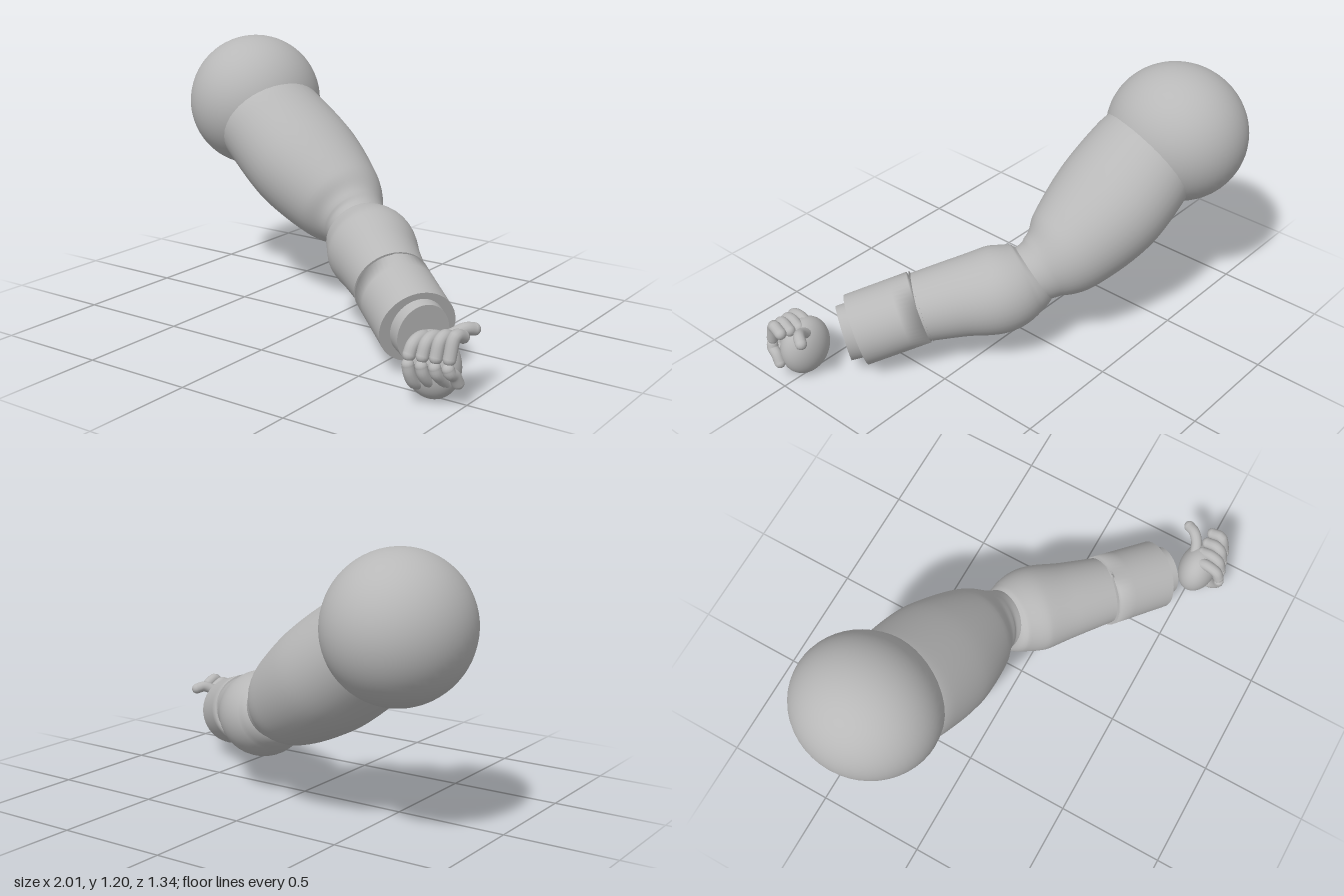
import * as THREE from 'three';

const V = (a) => new THREE.Vector3(...a);

// Smooth tapering limb: each section is [x, y, z, vertical radius, sideways radius]
function limb(sections, steps = 32, sides = 40) {
  const path = new THREE.CatmullRomCurve3(sections.map((s) => V(s.slice(0, 3))), false, 'catmullrom');
  const radii = new THREE.CatmullRomCurve3(sections.map((s) => V([s[3], s[4], 0])), false, 'catmullrom');
  const pos = [], index = [];
  const ring = (t) => {
    const c = path.getPoint(t), r = radii.getPoint(t), T = path.getTangent(t);
    const S = new THREE.Vector3().crossVectors(T, V([0, 1, 0])).normalize();
    const U = new THREE.Vector3().crossVectors(S, T);
    for (let i = 0; i < sides; i++) {
      const a = (i / sides) * Math.PI * 2;
      const p = c.clone().addScaledVector(S, Math.cos(a) * r.y).addScaledVector(U, Math.sin(a) * r.x);
      pos.push(p.x, p.y, p.z);
    }
    return c;
  };
  for (let j = 0; j <= steps; j++) ring(j / steps);
  for (let j = 0; j < steps; j++) {
    for (let i = 0; i < sides; i++) {
      const n = (i + 1) % sides, a = j * sides + i, b = j * sides + n;
      index.push(a, a + sides, b, b, a + sides, b + sides);
    }
  }
  // Flat end caps with their own vertices, so the rims stay sharp
  for (const t of [0, 1]) {
    const base = pos.length / 3;
    const c = ring(t);
    pos.push(c.x, c.y, c.z);
    for (let i = 0; i < sides; i++) {
      const n = (i + 1) % sides;
      if (t) index.push(base + sides, base + n, base + i);
      else index.push(base + sides, base + i, base + n);
    }
  }
  const g = new THREE.BufferGeometry();
  g.setAttribute('position', new THREE.Float32BufferAttribute(pos, 3));
  g.setIndex(index);
  g.computeVertexNormals();
  return g;
}

export function createModel() {
  const model = new THREE.Group();
  const grey = new THREE.MeshStandardMaterial({ color: 0xb8b8b8 });
  grey.name = 'plainGrey';

  const add = (name, geometry, parent = model) => {
    const m = new THREE.Mesh(geometry, grey);
    m.name = name;
    parent.add(m);
    return m;
  };
  const ellipsoid = (name, centre, r, parent) => {
    const m = add(name, new THREE.SphereGeometry(1, 48, 32), parent);
    m.position.set(...centre);
    m.scale.set(...r);
    return m;
  };
  // Bent finger: a tube with a ball at each end
  const digit = (name, points, r, parent) => {
    const g = new THREE.Group();
    g.name = name;
    parent.add(g);
    const curve = new THREE.CatmullRomCurve3(points.map(V));
    add(name + 'Tube', new THREE.TubeGeometry(curve, 16, r, 14), g);
    for (const p of [points[0], points[points.length - 1]]) {
      add(name + 'End', new THREE.SphereGeometry(r, 14, 10), g).position.set(...p);
    }
  };

  ellipsoid('shoulder', [-0.693, 0.89, -0.345], [0.306, 0.315, 0.33]);

  add('upperArm', limb([
    [-0.62, 0.86, -0.295, 0.22, 0.24],
    [-0.53, 0.795, -0.28, 0.24, 0.268],
    [-0.31, 0.635, -0.25, 0.25, 0.275],
    [-0.09, 0.495, -0.205, 0.212, 0.215],
    [0.02, 0.435, -0.16, 0.155, 0.15],
    [0.08, 0.405, -0.12, 0.13, 0.13],
  ], 40));

  add('forearm', limb([
    [0.03, 0.42, -0.145, 0.12, 0.12],
    [0.085, 0.39, -0.115, 0.165, 0.165],
    [0.19, 0.355, -0.05, 0.197, 0.2],
    [0.32, 0.325, 0.065, 0.176, 0.178],
    [0.46, 0.29, 0.185, 0.155, 0.158],
  ], 40));

  // Sleeve cuff and the narrower wrist stub
  add('cuff', limb([[0.45, 0.292, 0.18, 0.165, 0.168], [0.685, 0.21, 0.355, 0.165, 0.163]], 4, 48));
  add('wrist', limb([[0.62, 0.225, 0.31, 0.138, 0.122], [0.733, 0.2, 0.388, 0.133, 0.112]], 4, 48));

  // Detached fist
  const hand = new THREE.Group();
  hand.name = 'hand';
  model.add(hand);
  ellipsoid('palm', [0.852, 0.143, 0.515], [0.122, 0.138, 0.09], hand);

  for (let i = 0; i < 4; i++) {
    const x = 0.823 + i * 0.05, z = 0.632 - i * 0.015, y = 0.24 + i * 0.012;
    // Upper half curls over the top, lower half curls up from beneath
    digit('upperFinger' + (i + 1), [
      [x + 0.008, y + 0.005, 0.51], [x + 0.004, y + 0.022, 0.555],
      [x, y + 0.008, z - 0.02], [x - 0.004, 0.212, z],
    ], 0.026, hand);
    digit('lowerFinger' + (i + 1), [
      [x + 0.008, 0.072 + i * 0.011, 0.54], [x + 0.004, 0.095 + i * 0.015, z - 0.025],
      [x, 0.14 + i * 0.006, z + 0.002], [x - 0.004, 0.175, z + 0.008],
    ], 0.025, hand);
  }

  digit('thumb', [
    [0.86, 0.23, 0.48], [0.91, 0.262, 0.462], [0.945, 0.282, 0.43], [0.965, 0.275, 0.395],
  ], 0.026, hand);

  return model;
}
